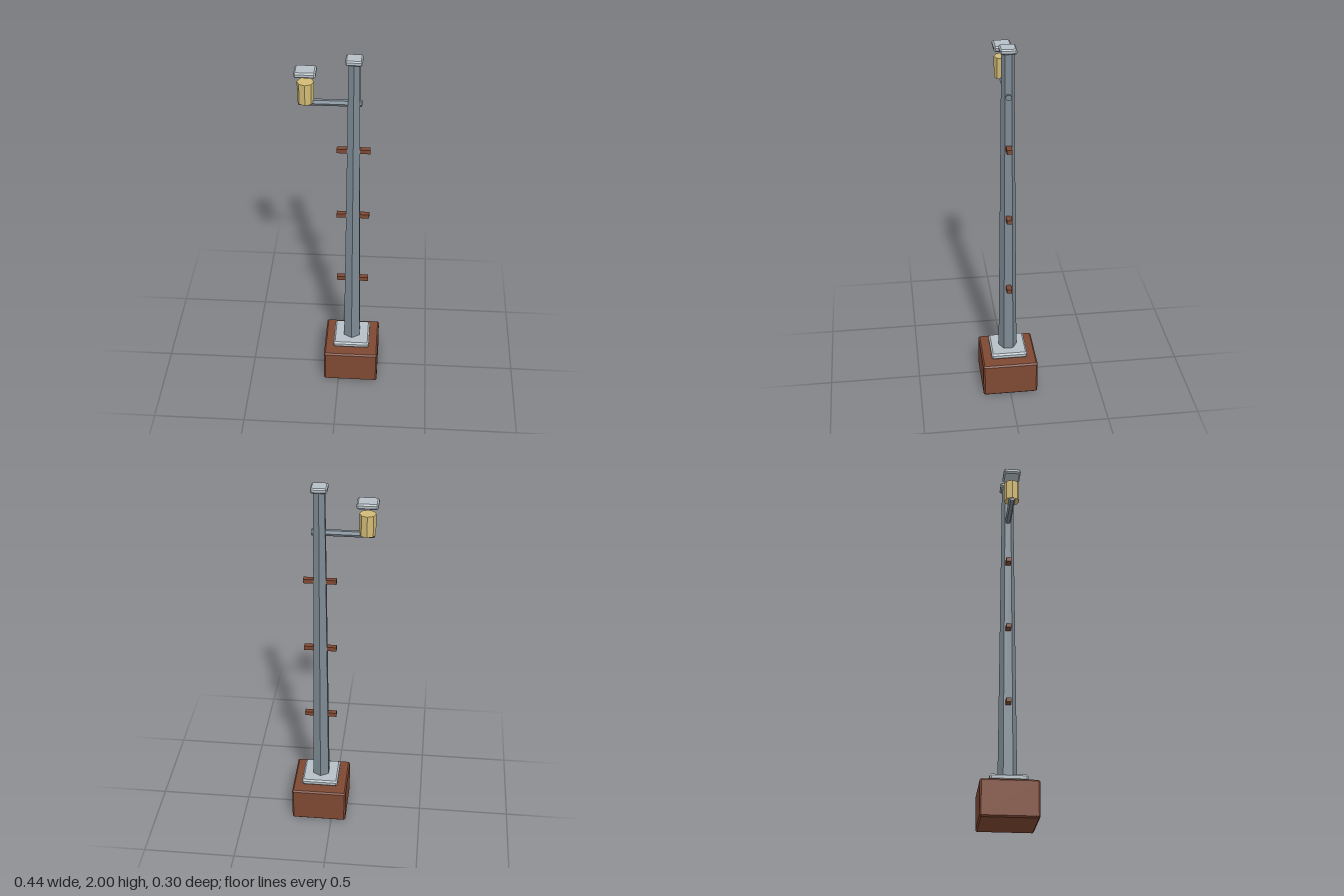
import * as THREE from 'three';
import { ConvexGeometry } from 'three/addons/geometries/ConvexGeometry.js';

const mat = (name, color) => {
  const m = new THREE.MeshStandardMaterial({ color, flatShading: true });
  m.name = name;
  return m;
};

// Box with every edge cut at 45 degrees
function chamferBox(w, h, d, c) {
  const pts = [];
  const [x, y, z] = [w / 2, h / 2, d / 2];
  for (const i of [-1, 1]) for (const j of [-1, 1]) for (const k of [-1, 1]) {
    pts.push(
      new THREE.Vector3(i * x, j * (y - c), k * (z - c)),
      new THREE.Vector3(i * (x - c), j * y, k * (z - c)),
      new THREE.Vector3(i * (x - c), j * (y - c), k * z)
    );
  }
  return new ConvexGeometry(pts);
}

export function createModel() {
  const group = new THREE.Group();
  const brick = mat('brick brown', 0x7e4833);
  const steel = mat('steel grey', 0x7d8a94);
  const pale = mat('pale grey', 0xb6c0c6);
  const glow = mat('lamp yellow', 0xd2bb76);
  const poleX = 0.07, lampX = -0.169;

  const add = (name, geometry, material, x, y) => {
    const mesh = new THREE.Mesh(geometry, material);
    mesh.name = name;
    mesh.position.set(x, y, 0);
    group.add(mesh);
    return mesh;
  };

  // Footing and collar plate
  add('base', chamferBox(0.302, 0.195, 0.302, 0.008), brick, poleX, 0.0975);
  add('basePlate', chamferBox(0.2, 0.034, 0.198, 0.009), pale, poleX, 0.22);

  // Tapered six-sided pole and its cap
  add('pole', new THREE.CylinderGeometry(0.032, 0.051, 1.79, 6), steel, poleX, 1.085);
  add('poleCap', chamferBox(0.084, 0.027, 0.084, 0.007), pale, poleX, 1.9865);

  // Climbing rungs
  for (const y of [0.642, 1.07, 1.474]) {
    add('rung', new THREE.BoxGeometry(0.172, 0.023, 0.028), brick, poleX, y);
  }

  // Side arm
  const arm = add('arm', new THREE.CylinderGeometry(0.017, 0.017, 0.315, 6), steel, -0.047, 1.749);
  arm.rotation.z = Math.PI / 2;

  // Lamp and the lid floating over it
  add('lamp', new THREE.CylinderGeometry(0.042, 0.042, 0.112, 8), glow, lampX, 1.806);
  add('lampLid', chamferBox(0.108, 0.029, 0.093, 0.008), pale, lampX, 1.916);

  return group;
}
